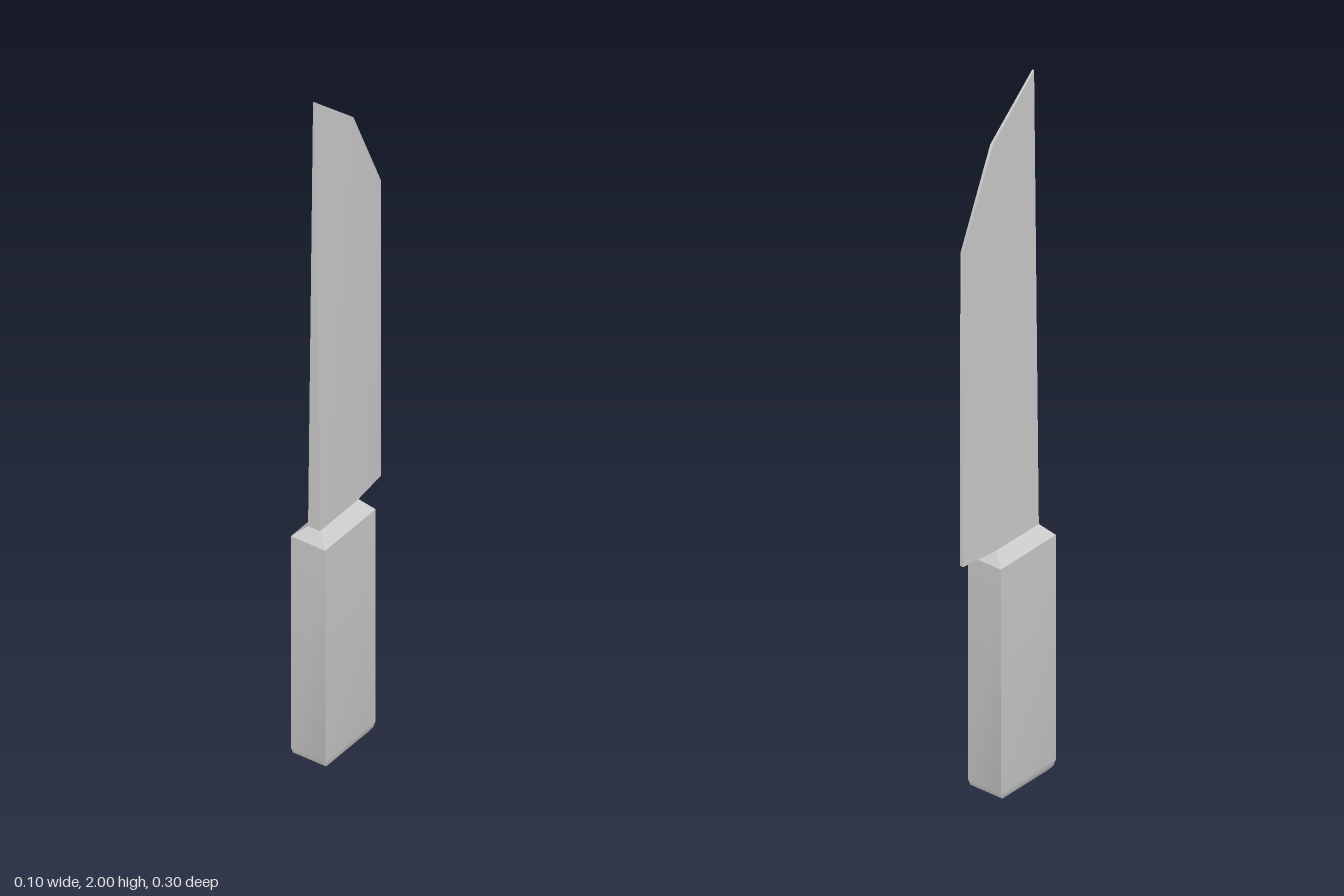
import * as THREE from 'three';
import { toCreasedNormals } from 'three/addons/utils/BufferGeometryUtils.js';

// Skins cross-sections from bottom to top. Each section lists [x, y, z] on the +x
// side from front to back; the -x side is mirrored.
function loft(sections) {
  const n = sections[0].length, count = 2 * n;
  const positions = [], index = [];
  const quad = (a, b, c, d) => index.push(a, b, c, a, c, d);
  for (const section of sections) {
    for (const p of section) positions.push(...p);
    for (const [x, y, z] of [...section].reverse()) positions.push(-x, y, z);
  }
  for (let s = 0; s < sections.length - 1; s++) {
    const lo = s * count, hi = lo + count;
    for (let i = 0; i < count; i++) {
      const j = (i + 1) % count;
      quad(lo + i, lo + j, hi + j, hi + i);
    }
  }
  // End caps
  const top = (sections.length - 1) * count;
  for (let i = 0; i < n - 1; i++) {
    const l0 = count - 1 - i, l1 = l0 - 1;
    quad(top + i, top + i + 1, top + l1, top + l0);
    quad(l0, l1, i + 1, i);
  }
  const geometry = new THREE.BufferGeometry();
  geometry.setAttribute('position', new THREE.Float32BufferAttribute(positions, 3));
  geometry.setIndex(index);
  return toCreasedNormals(geometry, 0.6);
}

export function createModel() {
  const group = new THREE.Group();
  const material = new THREE.MeshStandardMaterial({ color: 0xcccccc });
  const add = (name, sections) => {
    const mesh = new THREE.Mesh(loft(sections), material);
    mesh.name = name;
    group.add(mesh);
  };

  // Slab handle with chamfered pommel and shoulder: half width, height, front z, back z
  const handle = [
    [0.044, 0, 0.133, -0.045],
    [0.049, 0.009, 0.145, -0.057],
    [0.052, 0.026, 0.15, -0.062],
    [0.052, 0.67, 0.15, -0.062],
    [0.018, 0.7, 0.125, -0.038],
  ];
  add('handle', handle.map(([x, y, front, back]) => [[x, y, front], [x, y, back]]));

  // Blade: thick spine in front, tapering to the edge behind and to the angled tip
  add('blade', [
    [[0.018, 0.7, 0.125], [0.017, 0.7, -0.038], [0.005, 0.7, -0.15]],
    [[0.003, 2, 0.125], [0.004, 1.86, -0.035], [0.004, 1.6, -0.15]],
  ]);

  return group;
}
